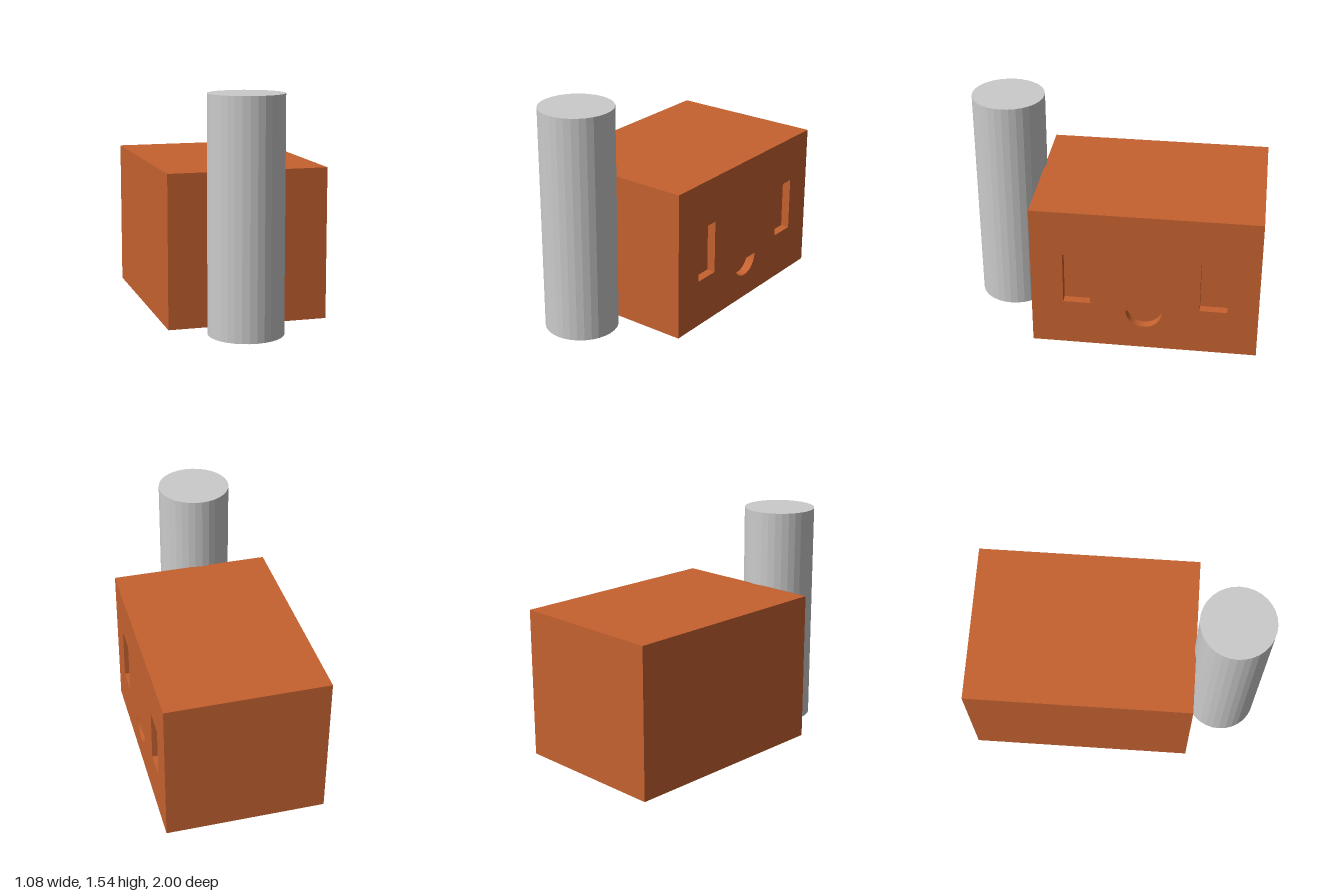
import * as THREE from 'three';

const HALF_WIDTH = 0.54, HEIGHT = 1.02, BACK = -1, FRONT = 0.52, RECESS = 0.06;

function rectangle(path, u0, v0, u1, v1) {
  path.moveTo(u0, v0);
  path.lineTo(u1, v0);
  path.lineTo(u1, v1);
  path.lineTo(u0, v1);
  path.closePath();
  return path;
}

export function createModel() {
  const model = new THREE.Group();
  const orange = new THREE.MeshStandardMaterial({ color: 0xc66230, flatShading: true });
  const grey = new THREE.MeshStandardMaterial({ color: 0xcccccc, flatShading: true });

  const add = (name, geometry, material, x, y, z) => {
    const mesh = new THREE.Mesh(geometry, material);
    mesh.name = name;
    mesh.position.set(x, y, z);
    model.add(mesh);
    return mesh;
  };

  // Solid block, stopping at the floor of the recesses
  add('body', new THREE.BoxGeometry(2 * HALF_WIDTH - RECESS, HEIGHT, FRONT - BACK), orange,
    -RECESS / 2, HEIGHT / 2, (FRONT + BACK) / 2);

  // Side panel with two slots and a half-round hole, drawn with u = -z
  const panel = rectangle(new THREE.Shape(), -FRONT, 0, -BACK, HEIGHT);
  for (const u of [-0.305, 0.61]) {
    panel.holes.push(rectangle(new THREE.Path(), u, 0.33, u + 0.183, 0.7));
  }
  const halfRound = new THREE.Path();
  halfRound.absarc(0.237, 0.29, 0.122, Math.PI, 2 * Math.PI, false);
  halfRound.closePath();
  panel.holes.push(halfRound);
  const panelGeometry = new THREE.ExtrudeGeometry(panel, { depth: RECESS, bevelEnabled: false, curveSegments: 16 });
  add('socketPanel', panelGeometry, orange, HALF_WIDTH - RECESS, 0, 0).rotation.y = Math.PI / 2;

  // Upright post at the front
  add('post', new THREE.CylinderGeometry(0.245, 0.245, 1.53, 32), grey, -0.09, 0.775, 0.755);

  return model;
}
